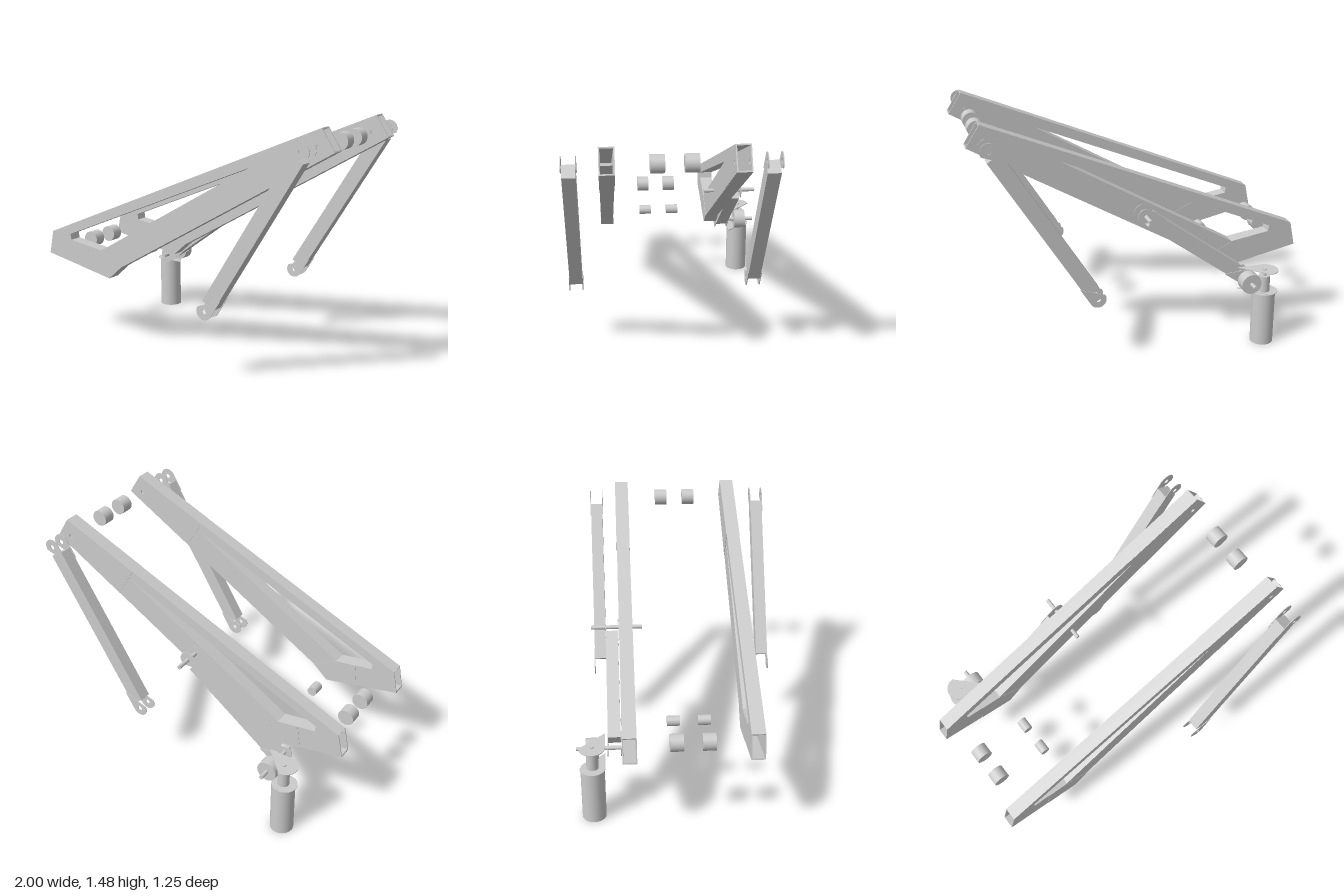
import * as THREE from 'three';

const material = new THREE.MeshStandardMaterial({ color: 0xcccccc });
const HOLE = 0.014;

function mesh(name, geometry, parent) {
  const m = new THREE.Mesh(geometry, material);
  m.name = name;
  parent.add(m);
  return m;
}

const polygon = (pts) => new THREE.Shape(pts.map(([x, y]) => new THREE.Vector2(x, y)));

function addRound(shape, x, y, r) {
  shape.holes.push(new THREE.Path().absarc(x, y, r, 0, Math.PI * 2, true));
}

// Extrudes a flat shape from z0 to z1
function slab(name, shape, z0, z1, parent) {
  const g = new THREE.ExtrudeGeometry(shape, { depth: z1 - z0, bevelEnabled: false, curveSegments: 16 });
  return mesh(name, g.translate(0, 0, z0), parent);
}

// Round bar along z
function bar(name, x, y, z0, z1, r, parent) {
  const g = new THREE.CylinderGeometry(r, r, z1 - z0, 24).rotateX(Math.PI / 2);
  return mesh(name, g.translate(x, y, (z0 + z1) / 2), parent);
}

// Upright round post
function post(name, x, z, y0, y1, r, parent) {
  const g = new THREE.CylinderGeometry(r, r, y1 - y0, 24);
  return mesh(name, g.translate(x, (y0 + y1) / 2, z), parent);
}

// Outline runs counter-clockwise, opening clockwise: material is on the left of each edge
const OUTLINE = [[-1, 0.54], [-0.52, 0.44], [-0.425, 0.524], [1, 1.35], [0.92, 1.476], [-0.97, 0.686]];
const OPENING = [[-0.826, 0.684], [0.48, 1.225], [-0.58, 0.61], [-0.82, 0.647]];
const FORK = [[0.44, 1.275], [0.55, 1.09], [1, 1.35], [0.92, 1.476]];
const ELBOW = [[-0.71, 0.63], [-0.73, 0.484], [-0.52, 0.44], [-0.425, 0.524], [-0.58, 0.61]];

// Hollow boom: two side plates joined by edge walls, open at both ends
function boom(z) {
  const g = new THREE.Group();
  g.name = 'boom';
  const half = 0.04, plate = 0.005, wall = 0.008;
  const side = polygon(OUTLINE);
  side.holes.push(new THREE.Path(OPENING.map(([x, y]) => new THREE.Vector2(x, y))));
  const fork = polygon(FORK);
  for (const s of [side, fork]) addRound(s, 0.9, 1.37, HOLE);
  for (const s of [-1, 1]) {
    const span = (a, b) => (s > 0 ? [a, b] : [-b, -a]);
    slab('boomSide', side, ...span(half - plate, half), g);
    slab('forkPlate', fork, ...span(half, half + 0.002), g);
    slab('elbowPlate', polygon(ELBOW), ...span(half, half + 0.002), g);
  }
  const edgeWalls = (pts, openEdges) => pts.forEach((a, i) => {
    if (openEdges.includes(i)) return;
    const b = pts[(i + 1) % pts.length];
    const len = Math.hypot(b[0] - a[0], b[1] - a[1]);
    const nx = -(b[1] - a[1]) / len * wall, ny = (b[0] - a[0]) / len * wall;
    const quad = polygon([a, b, [b[0] + nx, b[1] + ny], [a[0] + nx, a[1] + ny]]);
    slab('boomWall', quad, -half + plate, half - plate, g);
  });
  edgeWalls(OUTLINE, [3, 5]);
  edgeWalls(OPENING, []);
  g.position.z = z;
  return g;
}

// Link: box body with a pair of rounded eye plates at each end
function link(name, [x0, y0], [x1, y1], z) {
  const g = new THREE.Group();
  g.name = name;
  const length = Math.hypot(x1 - x0, y1 - y0), r = 0.05, gap = 0.047;
  const body = new THREE.BoxGeometry(length - 2 * gap, 0.09, 0.074);
  mesh('linkBody', body.translate(length / 2, 0, 0), g);
  const eye = new THREE.Shape();
  eye.moveTo(0.12, r);
  eye.absarc(0, 0, r, Math.PI / 2, Math.PI * 1.5, false);
  eye.lineTo(0.12, -r);
  addRound(eye, 0, 0, HOLE);
  for (const end of [0, 1]) {
    const pair = new THREE.Group();
    pair.name = 'linkEye';
    slab('eyePlate', eye, 0.037, 0.041, pair);
    slab('eyePlate', eye, -0.041, -0.037, pair);
    pair.position.x = end * length;
    pair.rotation.z = end * Math.PI;
    g.add(pair);
  }
  g.position.set(x0, y0, z);
  g.rotation.z = Math.atan2(y1 - y0, x1 - x0);
  return g;
}

// Motor with neck, drive shaft, roller and two bracket plates
function drive() {
  const g = new THREE.Group();
  g.name = 'drive';
  const x = -0.73, z = -0.53;
  post('motor', x, z, 0, 0.335, 0.07, g);
  post('motorNeck', x, z, 0.335, 0.44, 0.035, g);
  post('driveShaft', x, z, 0.44, 0.482, 0.013, g);
  const shape = new THREE.Shape();
  shape.moveTo(-0.588, -z + 0.075);
  shape.absarc(x - 0.009, -z, 0.075, Math.PI / 2, Math.PI * 1.5, false);
  shape.lineTo(-0.588, -z - 0.075);
  for (const y of [0.335, 0.472]) {
    const plate = slab('bracketPlate', shape, 0, 0.004, g);
    plate.rotation.x = -Math.PI / 2;
    plate.position.y = y;
  }
  bar('roller', -0.635, 0.405, -0.566, -0.494, 0.062, g);
  return g;
}

export function createModel() {
  const model = new THREE.Group();
  model.name = 'linkageArm';
  for (const z of [0.385, -0.316]) model.add(boom(z));
  for (const z of [0.581, -0.484]) model.add(link('sideLink', [0.31, 0.42], [0.9, 1.372], z));

  // Lifting strut, its pins and its drive
  model.add(link('liftStrut', [-0.635, 0.405], [-0.005, 0.866], -0.401));
  bar('lowerPin', -0.635, 0.405, -0.624, -0.315, 0.012, model);
  bar('upperPin', -0.005, 0.866, -0.528, -0.215, 0.012, model);
  model.add(drive());

  // Spacer pairs between the booms
  for (const [x, y, r] of [[-0.88, 0.59, 0.05], [-0.555, 0.525, 0.03], [0.9, 1.372, 0.05]]) {
    for (const z of [0.125, -0.055]) bar('spacer', x, y, z - 0.038, z + 0.038, r, model);
  }
  return model;
}
